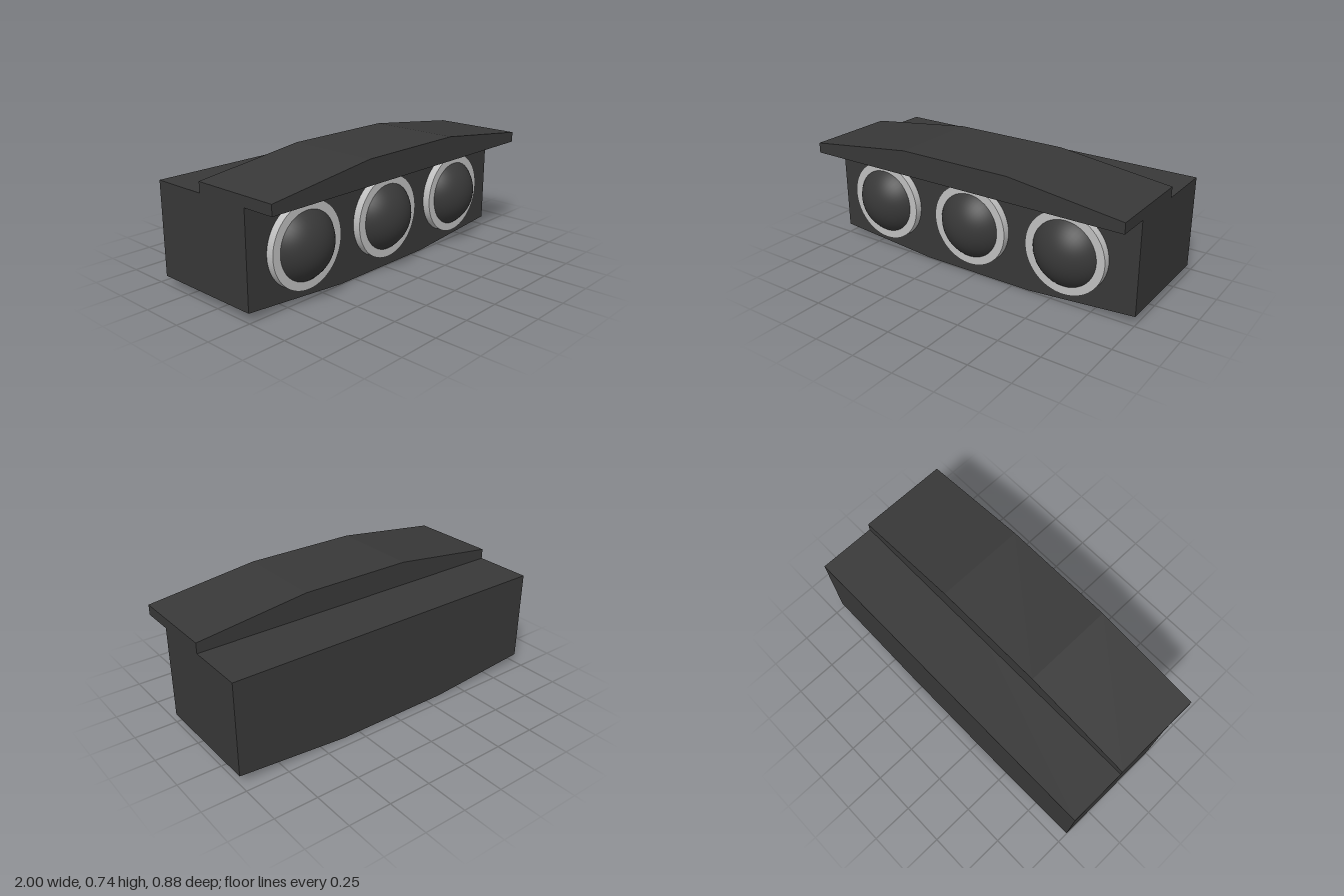
import * as THREE from 'three';

export function createModel() {
  const model = new THREE.Group();
  model.name = 'lampBar';
  const housingMat = new THREE.MeshStandardMaterial({ color: 0x383838 });
  housingMat.name = 'charcoal';
  const ringMat = new THREE.MeshStandardMaterial({ color: 0xc0c0c0 });
  ringMat.name = 'light grey';

  const add = (name, geometry, material, parent = model) => {
    const mesh = new THREE.Mesh(geometry, material);
    mesh.name = name;
    parent.add(mesh);
    return mesh;
  };

  // Front outline pushed along z between two depths
  const prism = (points, zBack, zFront) => {
    const shape = new THREE.Shape(points.map(([x, y]) => new THREE.Vector2(x, y)));
    return new THREE.ExtrudeGeometry(shape, { depth: zFront - zBack, bevelEnabled: false })
      .translate(0, 0, zBack);
  };

  // Main housing with a faceted belly
  add('housing', prism(
    [[-1, 0.053], [-0.35, 0], [0.35, 0], [1, 0.053], [1, 0.593], [-1, 0.593]],
    -0.44, 0.245), housingMat);

  // Overhanging hood with a faceted crown
  add('hood', prism(
    [[-1, 0.593], [1, 0.593], [1, 0.653], [0.34, 0.735], [-0.34, 0.735], [-1, 0.653]],
    -0.097, 0.44), housingMat);

  // Bezel ring: flat-faced washer
  const ringShape = new THREE.Shape().absarc(0, 0, 0.238, 0, Math.PI * 2, false);
  ringShape.holes.push(new THREE.Path().absarc(0, 0, 0.185, 0, Math.PI * 2, true));
  const ringGeo = new THREE.ExtrudeGeometry(ringShape, {
    depth: 0.045, bevelEnabled: false, curveSegments: 48,
  });

  // Domed lens: spherical cap 0.19 in radius and 0.1 high
  const R = 0.2305;
  const lensGeo = new THREE.SphereGeometry(R, 40, 12, 0, Math.PI * 2, 0, Math.asin(0.19 / R))
    .rotateX(Math.PI / 2).translate(0, 0, 0.145 - R);

  // Three lamps across the front
  [-0.635, -0.015, 0.597].forEach((x, i) => {
    const lamp = new THREE.Group();
    lamp.name = ['rightLamp', 'middleLamp', 'leftLamp'][i];
    lamp.position.set(x, 0.315, 0.245);
    add('bezelRing', ringGeo, ringMat, lamp);
    add('lens', lensGeo, housingMat, lamp);
    model.add(lamp);
  });

  return model;
}
